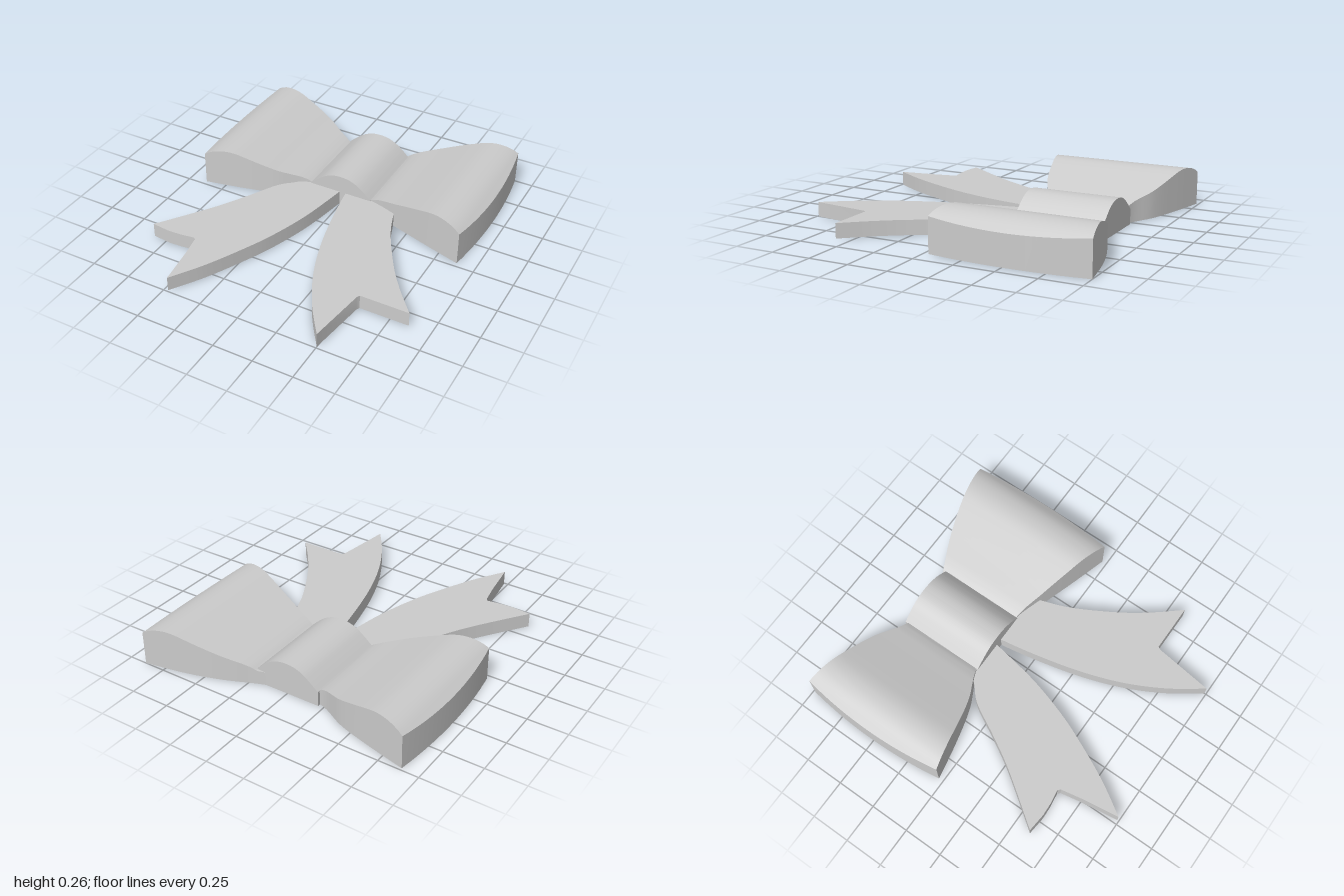
import * as THREE from 'three';
import { toCreasedNormals } from 'three/addons/utils/BufferGeometryUtils.js';

const material = new THREE.MeshStandardMaterial({ color: 0xcccccc });
const vectors = (points) => points.map(([x, y]) => new THREE.Vector2(x, y));

function addMesh(group, name, geometry) {
  const mesh = new THREE.Mesh(toCreasedNormals(geometry, 0.5), material);
  mesh.name = name;
  group.add(mesh);
  return mesh;
}

// Height of a bow loop by distance from the centre: low at the knot, rounded outside
const PROFILE = [[0, 0.08], [0.2, 0.09], [0.23, 0.11], [0.28, 0.13], [0.4, 0.167], [0.5, 0.2], [0.6, 0.232],
  [0.66, 0.25], [0.7, 0.258], [0.74, 0.26], [0.78, 0.256], [0.82, 0.247], [0.86, 0.23], [0.89, 0.21], [0.93, 0.183]];
function loopHeight(x) {
  let i = 1;
  while (i < PROFILE.length - 1 && x > PROFILE[i][0]) i++;
  const [[x0, y0], [x1, y1]] = [PROFILE[i - 1], PROFILE[i]];
  return y0 + (y1 - y0) * (x - x0) / (x1 - x0);
}

// Loop: a gridded box bent between its back and front edge curves
function loopGeometry(side, backPoints, frontPoints) {
  const back = new THREE.SplineCurve(vectors(backPoints));
  const front = new THREE.SplineCurve(vectors(frontPoints));
  const geometry = new THREE.BoxGeometry(1, 1, 1, 48, 1, 16);
  const pos = geometry.attributes.position;
  for (let i = 0; i < pos.count; i++) {
    const t = THREE.MathUtils.clamp(0.5 + side * pos.getX(i), 0, 1);
    const v = pos.getZ(i) + 0.5;
    const p = back.getPoint(t).lerp(front.getPoint(t), v);
    const x = p.x + 0.038 * 4 * v * (1 - v) * t * t;
    pos.setXYZ(i, side * x, pos.getY(i) > 0 ? loopHeight(x) : 0, p.y);
  }
  return geometry;
}

// Ribbon tail: flat outline in x and z, extruded upward
function tailGeometry(outer, notch, inner) {
  const shape = new THREE.Shape();
  shape.moveTo(outer[0][0], -outer[0][1]);
  const flip = (points) => vectors(points.map(([x, z]) => [x, -z]));
  shape.splineThru(flip(outer.slice(1)));
  notch.forEach(([x, z]) => shape.lineTo(x, -z));
  shape.lineTo(inner[0][0], -inner[0][1]);
  shape.splineThru(flip(inner.slice(1)));
  shape.closePath();
  const geometry = new THREE.ExtrudeGeometry(shape, { depth: 0.092, bevelEnabled: false, curveSegments: 16 });
  return geometry.rotateX(-Math.PI / 2);
}

export function createModel() {
  const bow = new THREE.Group();
  bow.name = 'ribbonBow';

  // Bow loops
  addMesh(bow, 'leftLoop', loopGeometry(1,
    [[0, -0.74], [0.18, -0.795], [0.4, -0.885], [0.62, -0.95], [0.883, -1]],
    [[0, -0.24], [0.21, -0.235], [0.43, -0.17], [0.65, -0.1], [0.883, -0.03]]));
  addMesh(bow, 'rightLoop', loopGeometry(-1,
    [[0, -0.74], [0.23, -0.77], [0.42, -0.86], [0.64, -0.925], [0.888, -0.985]],
    [[0, -0.24], [0.21, -0.235], [0.42, -0.14], [0.64, -0.08], [0.885, -0.03]]));

  // Knot: block with an arched top
  const arch = new THREE.Shape();
  arch.moveTo(-0.215, 0);
  arch.lineTo(0.21, 0);
  arch.lineTo(0.21, 0.095);
  arch.splineThru(vectors([[0.16, 0.142], [0.11, 0.178], [0.055, 0.2], [0, 0.206],
    [-0.055, 0.2], [-0.11, 0.178], [-0.16, 0.142], [-0.215, 0.095]]));
  arch.closePath();
  const knot = new THREE.ExtrudeGeometry(arch, { depth: 0.557, bevelEnabled: false, curveSegments: 24 });
  addMesh(bow, 'knot', knot.translate(0, 0, -0.785));

  // Ribbon tails, running from under the knot to a notched end
  addMesh(bow, 'leftTail', tailGeometry(
    [[0.36, -0.3], [0.4, -0.16], [0.47, 0.02], [0.61, 0.27], [0.73, 0.44], [0.865, 0.6]],
    [[0.56, 0.6], [0.55, 0.62]],
    [[0.5, 0.99], [0.36, 0.79], [0.24, 0.56], [0.15, 0.31], [0.085, 0.05], [0.04, -0.19], [0.03, -0.3]]));
  addMesh(bow, 'rightTail', tailGeometry(
    [[-0.2, -0.3], [-0.3, -0.19], [-0.39, -0.1], [-0.5, 0.1], [-0.62, 0.3], [-0.84, 0.61]],
    [[-0.72, 0.622], [-0.64, 0.618], [-0.55, 0.605], [-0.535, 0.62], [-0.51, 0.75]],
    [[-0.475, 0.99], [-0.35, 0.79], [-0.235, 0.56], [-0.15, 0.36], [-0.07, 0.1], [-0.015, -0.19], [0, -0.3]]));
  return bow;
}
